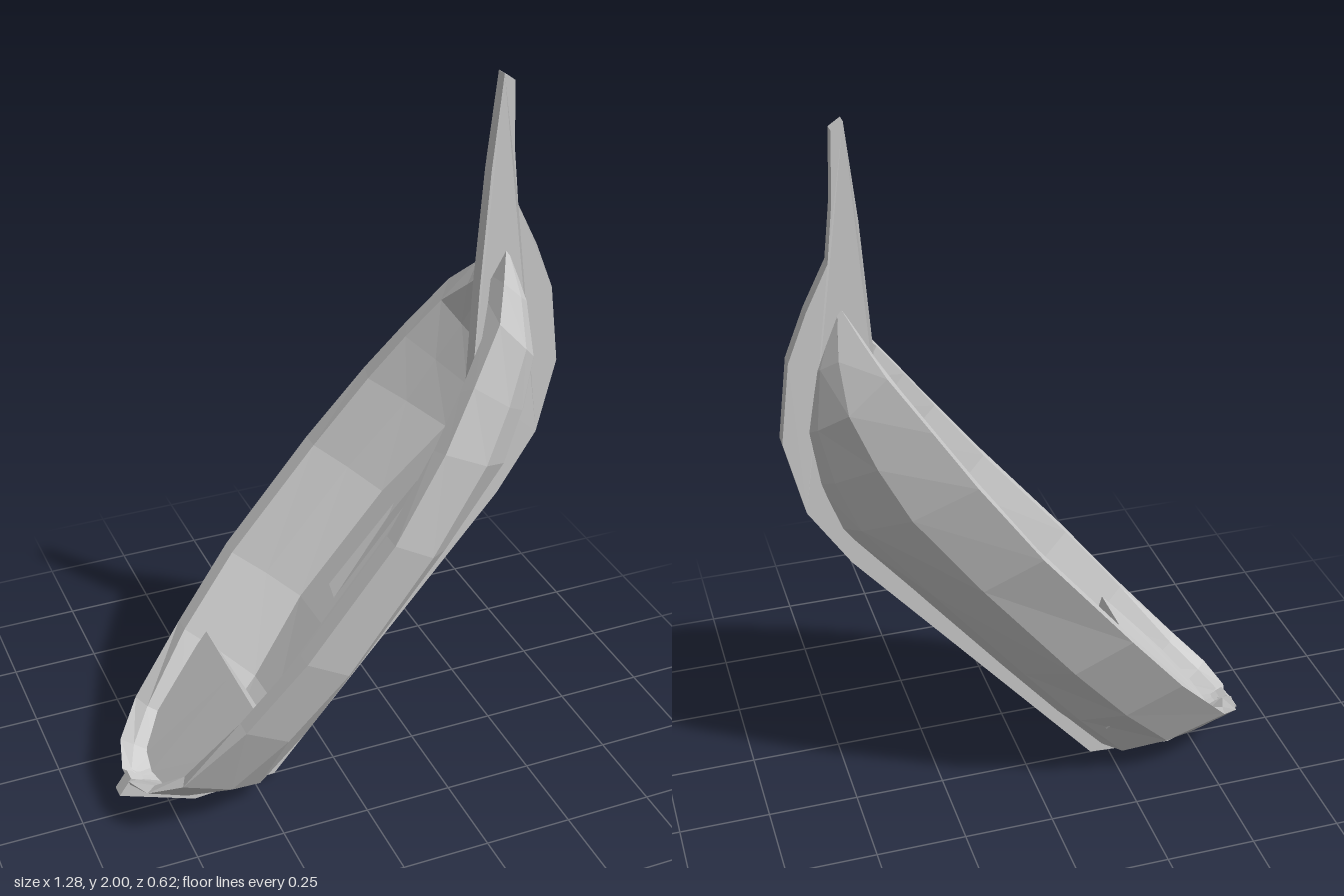
import * as THREE from 'three';

const hullGrey = new THREE.MeshStandardMaterial({ color: 0xcccccc });
hullGrey.name = 'hullGrey';
hullGrey.flatShading = true;
hullGrey.side = THREE.DoubleSide;

// Hull stations, stern to bow: outer gunwale [x,y,z], keel [x,y], chine and
// bilge widths, inner gunwale [x,y,z], floor centre [x,y], floor half width
const STATIONS = [
  { g: [-0.62, 0.13, 0.03], k: [-0.61, 0.10], c: 0.85, b: 0.45, i: [-0.595, 0.125, 0.025], f: [-0.58, 0.115], w: 0.015 },
  { g: [-0.595, 0.155, 0.125], k: [-0.36, 0.028], c: 0.82, b: 0.48, i: [-0.565, 0.15, 0.095], f: [-0.47, 0.095], w: 0.05 },
  { g: [-0.52, 0.22, 0.212], k: [-0.215, 0.033], c: 0.78, b: 0.45, i: [-0.50, 0.215, 0.165], f: [-0.33, 0.1], w: 0.09 },
  { g: [-0.36, 0.40, 0.278], k: [-0.083, 0.18], c: 0.8, b: 0.4, i: [-0.36, 0.40, 0.23], f: [-0.175, 0.24], w: 0.14 },
  { g: [-0.20, 0.60, 0.312], k: [0.08, 0.375], c: 0.82, b: 0.36, i: [-0.20, 0.60, 0.262], f: [-0.02, 0.455], w: 0.175 },
  { g: [0.045, 0.90, 0.305], k: [0.326, 0.677], c: 0.78, b: 0.35, i: [0.045, 0.90, 0.252], f: [0.22, 0.76], w: 0.155 },
  { g: [0.20, 1.11, 0.26], k: [0.51, 0.90], c: 0.74, b: 0.32, i: [0.19, 1.10, 0.212], f: [0.385, 0.962], w: 0.10 },
  { g: [0.30, 1.255, 0.207], k: [0.56, 1.04], c: 0.77, b: 0.31, i: [0.28, 1.23, 0.17], f: [0.43, 1.095], w: 0.075 },
  { g: [0.395, 1.39, 0.15], k: [0.582, 1.19], c: 0.84, b: 0.32, i: [0.36, 1.345, 0.122], f: [0.46, 1.21], w: 0.05 },
  { g: [0.44, 1.465, 0.076], k: [0.552, 1.36], c: 0.9, b: 0.36, i: [0.405, 1.41, 0.06], f: [0.46, 1.34], w: 0.025 },
  { g: [0.48, 1.54, 0.004], k: [0.48, 1.54], c: 1, b: 0.5, i: [0.435, 1.46, 0.012], f: [0.44, 1.45], w: 0.01 },
];

const between = (a, b, t, z) => [a[0] + (b[0] - a[0]) * t, a[1] + (b[1] - a[1]) * t, z];

// Half section from keel, over the gunwale, down to the floor centre
function section({ g, k, c, b, i, f, w }) {
  return [
    [...k, 0],
    between(g, k, 0.85, g[2] * b),
    between(g, k, 0.5, g[2] * c),
    g,
    i,
    between(i, f, 0.5, i[2] * 0.62 + w * 0.38),
    between(i, f, 0.95, w),
    [...f, 0],
  ];
}

// Mesh from a list of polygons, each drawn as a fan
function facets(name, polygons) {
  const points = [];
  for (const p of polygons) {
    for (let n = 1; n < p.length - 1; n++) points.push(...p[0], ...p[n], ...p[n + 1]);
  }
  const geometry = new THREE.BufferGeometry();
  geometry.setAttribute('position', new THREE.Float32BufferAttribute(points, 3));
  geometry.computeVertexNormals();
  const mesh = new THREE.Mesh(geometry, hullGrey);
  mesh.name = name;
  return mesh;
}

const mirrored = (p) => p.map(([x, y, z]) => [x, y, -z]).reverse();

function makeHull() {
  const rows = STATIONS.map(section);
  const port = [];
  for (let s = 0; s < rows.length - 1; s++) {
    for (let n = 0; n < rows[s].length - 1; n++) {
      port.push([rows[s][n], rows[s + 1][n], rows[s + 1][n + 1], rows[s][n + 1]]);
    }
  }
  // Stern end cap
  port.push(rows[0]);
  return facets('hull', [...port, ...port.map(mirrored)]);
}

// Keel, stem and tall bow post cut from one flat plate
function makeKeel() {
  const outline = [
    [-0.645, 0.08], [-0.43, 0], [-0.19, 0.017], [0.48, 0.80], [0.59, 0.97],
    [0.64, 1.18], [0.612, 1.40], [0.56, 1.53], [0.50, 1.65], [0.483, 1.80],
    [0.475, 1.98], [0.445, 2.0], [0.42, 1.75], [0.40, 1.43], [0.39, 1.15],
    [0.365, 0.965], [-0.22, 0.225], [-0.28, 0.10], [-0.45, 0.07], [-0.59, 0.12], [-0.61, 0.13],
  ];
  const shape = new THREE.Shape(outline.map(([x, y]) => new THREE.Vector2(x, y)));
  const geometry = new THREE.ExtrudeGeometry(shape, { depth: 0.04, bevelEnabled: false });
  geometry.translate(0, 0, -0.02);
  // The post thins slightly towards its tip
  const position = geometry.attributes.position;
  for (let n = 0; n < position.count; n++) {
    const rise = THREE.MathUtils.clamp((position.getY(n) - 1.5) / 0.5, 0, 1);
    position.setZ(n, position.getZ(n) * (1 - 0.2 * rise));
  }
  const mesh = new THREE.Mesh(geometry, hullGrey);
  mesh.name = 'keelAndBowPost';
  return mesh;
}

// Raised stern deck with its step down to the floor
function makeDeck() {
  const top = [[-0.545, 0.12, 0], [-0.535, 0.13, 0.075], [-0.50, 0.168, 0.155], [-0.40, 0.278, 0.195], [-0.30, 0.385, 0.217], [-0.30, 0.385, 0]];
  const step = [[-0.30, 0.385, 0], [-0.30, 0.385, 0.217], [-0.265, 0.314, 0.207], [-0.235, 0.253, 0.175], [-0.197, 0.18, 0.13], [-0.197, 0.18, 0]];
  return facets('sternDeck', [top, step, mirrored(top), mirrored(step)]);
}

// Loose floor planks, tilted so that one end sinks into the floor
function makePlanks() {
  const plank = (corners) => corners.map(([x, z, lift]) => [x - lift * 0.78, 0.48 + 1.265 * x + lift * 0.62, z]);
  return facets('floorPlanks', [
    plank([[0.03, -0.045, 0.012], [0.29, -0.038, 0.008], [0.27, -0.085, 0.004], [0.04, -0.09, 0.02]]),
    plank([[-0.13, 0.062, 0.03], [-0.13, 0.105, 0.012], [0.27, 0.08, 0.004], [0.29, 0.036, 0.012]]),
  ]);
}

export function createModel() {
  const boat = new THREE.Group();
  boat.name = 'boat';
  boat.add(makeHull(), makeKeel(), makeDeck(), makePlanks());
  return boat;
}
